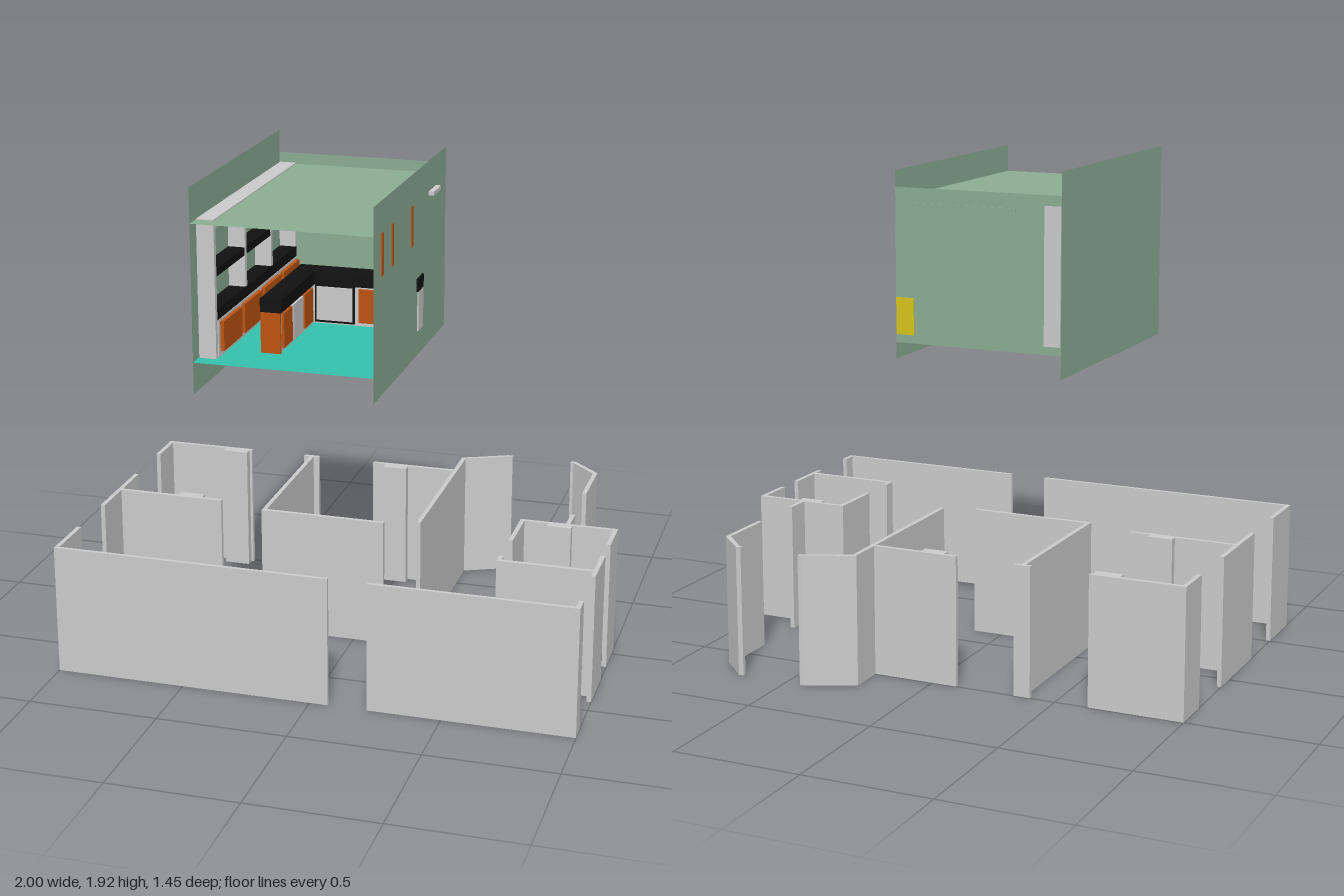
import * as THREE from 'three';

const mat = (color) => new THREE.MeshStandardMaterial({ color, side: THREE.DoubleSide });

export function createModel() {
  const model = new THREE.Group();
  const grey = mat(0xcccccc), green = mat(0x8bad94), teal = mat(0x35c0ae);
  const orange = mat(0xbd5412), black = mat(0x111111), yellow = mat(0xd6c41c);

  const group = (name) => {
    const g = new THREE.Group();
    g.name = name;
    model.add(g);
    return g;
  };
  // Box given by its limits on each axis
  const box = (parent, name, material, x0, x1, y0, y1, z0, z1) => {
    const m = new THREE.Mesh(new THREE.BoxGeometry(x1 - x0, y1 - y0, z1 - z0), material);
    m.position.set((x0 + x1) / 2, (y0 + y1) / 2, (z0 + z1) / 2);
    m.name = name;
    parent.add(m);
  };
  // Thin sheet, turned about x and y
  const sheet = (parent, name, material, w, h, pos, rx, ry) => {
    const m = new THREE.Mesh(new THREE.PlaneGeometry(w, h), material);
    m.position.set(...pos);
    m.rotation.set(rx, ry, 0);
    m.name = name;
    parent.add(m);
  };

  // Floor plan walls: x0, x1, z0, z1
  const H = 0.505;
  const plan = group('floorPlanWalls');
  const walls = {
    frontWall: [[-1, 0.07, 0.71, 0.725], [0.22, 1, 0.71, 0.725],
      [-1, -0.983, 0.505, 0.71], [0.983, 1, 0.655, 0.71]],
    rearLeftCornerWall: [[-1, -0.63, -0.5, -0.483], [-1, -0.983, -0.483, -0.335],
      [-0.745, -0.64, -0.483, -0.45]],
    sideRoomWall: [[-1, -0.983, -0.27 + 0.36, 0.27], [-1, -0.983, 0.09 - 0.18, 0.09],
      [-0.983, -0.56, 0.08, 0.097], [-0.745, -0.645, 0.05, 0.08]],
    middleWall: [[-0.4, -0.335, -0.5, -0.483], [-0.375, -0.358, -0.483, 0.147],
      [-0.358, 0.12, 0.13, 0.147]],
    rearMiddleWall: [[-0.1, 0.24, -0.5, -0.483], [-0.045, 0.05, -0.483, -0.45]],
    passageWall: [[0.24, 0.257, -0.64, 0.1]],
    smallRoomWall: [[0.62, 1, -0.045, -0.029], [0.62, 0.637, -0.029, 0.18],
      [0.983, 1, -0.029, 0.12], [0.73, 0.825, -0.029, 0.0],
      [0.797, 0.814, 0.145 - 0.29, -0.045]],
    closetWall: [[0.62, 1, 0.369, 0.386], [0.62, 0.637, 0.335, 0.369], [0.983, 1, 0.23, 0.43]],
    rearSideWall: [[0.797, 0.814, -0.615, -0.38]],
  };
  for (const [name, list] of Object.entries(walls))
    for (const [x0, x1, z0, z1] of list) box(plan, name, grey, x0, x1, 0, H, z0, z1);

  // Slanted bay walls, outlined in plan (x, z) and raised
  const bays = [
    [[0.24, -0.645], [0.42, -0.727], [0.44, -0.727], [0.44, -0.712], [0.425, -0.712], [0.257, -0.635]],
    [[0.685, -0.727], [0.705, -0.727], [0.814, -0.62], [0.814, -0.605], [0.797, -0.61], [0.697, -0.712], [0.685, -0.712]],
  ];
  for (const pts of bays) {
    const s = new THREE.Shape(pts.map(([x, z]) => new THREE.Vector2(x, -z)));
    const m = new THREE.Mesh(new THREE.ExtrudeGeometry(s, { depth: H, bevelEnabled: false }), grey);
    m.rotation.x = -Math.PI / 2;
    m.name = 'slantedBayWall';
    plan.add(m);
  }

  // Floating room shell
  const room = group('room');
  const X0 = -0.43, X1 = 0.24, Z0 = -0.3, Z1 = 0.71, F = 1.28, C = 1.79;
  const W = X1 - X0, D = Z1 - Z0, cx = (X0 + X1) / 2, cz = (Z0 + Z1) / 2;
  sheet(room, 'leftSideWall', green, D, 0.76, [X0, 1.54, cz], 0, Math.PI / 2);
  sheet(room, 'rightSideWall', green, D, 0.71, [X1, 1.54, cz], 0, Math.PI / 2);
  sheet(room, 'backWall', green, W, 0.585, [cx, 1.5405, Z0], 0, 0);
  sheet(room, 'ceiling', green, W, D, [cx, C, cz], -Math.PI / 2, 0);
  sheet(room, 'floor', teal, W, D, [cx, F, cz], -Math.PI / 2, 0);

  // Shelving wall along the side: beam, posts, cupboards and shelves
  const unit = group('shelvingUnit');
  box(unit, 'topBeam', grey, -0.428, -0.363, C - 0.03, C + 0.004, Z0 - 0.003, 0.65);
  for (const z of [Z0 - 0.003, 0.0, 0.3, 0.63])
    box(unit, 'post', grey, -0.428, -0.363, F, C, z, z + 0.02);
  box(unit, 'cupboardBase', grey, -0.428, -0.36, F, 1.42, Z0, 0.63);
  for (let i = 0; i < 4; i++) {
    const z = -0.28 + i * 0.23;
    box(unit, 'cupboardDoor', orange, -0.36, -0.346, 1.3, 1.41, z, z + 0.2);
  }
  box(unit, 'worktop', black, -0.428, -0.362, 1.42, 1.46, Z0 + 0.01, 0.63);
  box(unit, 'shelf', black, -0.428, -0.365, 1.58, 1.61, 0.02, 0.63);

  // L-shaped kitchen counter
  const counter = group('kitchenCounter');
  box(counter, 'longBase', grey, -0.22, X1 + 0.005, F, 1.435, 0.045, 0.115);
  box(counter, 'sideBase', grey, -0.23, -0.165, F, 1.435, 0.115, 0.52);
  box(counter, 'endPanel', orange, -0.235, -0.16, F, 1.435, 0.52, 0.53);
  box(counter, 'longWorktop', black, -0.235, X1 + 0.006, 1.435, 1.485, 0.045, 0.13);
  box(counter, 'sideWorktop', black, -0.235, -0.155, 1.435, 1.485, 0.13, 0.535);
  box(counter, 'oven', grey, -0.15, -0.01, 1.295, 1.425, 0.115, 0.125);
  box(counter, 'ovenSurround', black, -0.158, -0.002, 1.285, 1.432, 0.115, 0.118);
  for (const [a, b] of [[0.015, 0.155], [0.185, 0.225]])
    box(counter, 'frontDoor', orange, a, b, 1.295, 1.425, 0.115, 0.125);
  for (const z of [0.15, 0.4])
    box(counter, 'sideDoor', orange, -0.165, -0.155, 1.295, 1.425, z, z + 0.1);
  box(counter, 'sidePanel', grey, -0.165, -0.157, 1.295, 1.425, 0.265, 0.385);

  // Wall slats, high panels and the box in the back corner
  for (const z of [0.605, 0.47, 0.205])
    box(room, 'wallSlat', orange, 0.228, X1 + 0.004, 1.625, 1.78, z - 0.01, z + 0.01);
  box(room, 'hangingPanel', grey, -0.31, 0.26, 1.763, 1.778, -0.15, -0.04);
  box(room, 'backRail', green, -0.25, 0.19, 1.763, 1.778, Z0 - 0.005, Z0 + 0.05);
  box(room, 'cornerBox', yellow, 0.165, X1 - 0.002, F, 1.42, Z0 - 0.004, -0.22);

  return model;
}
